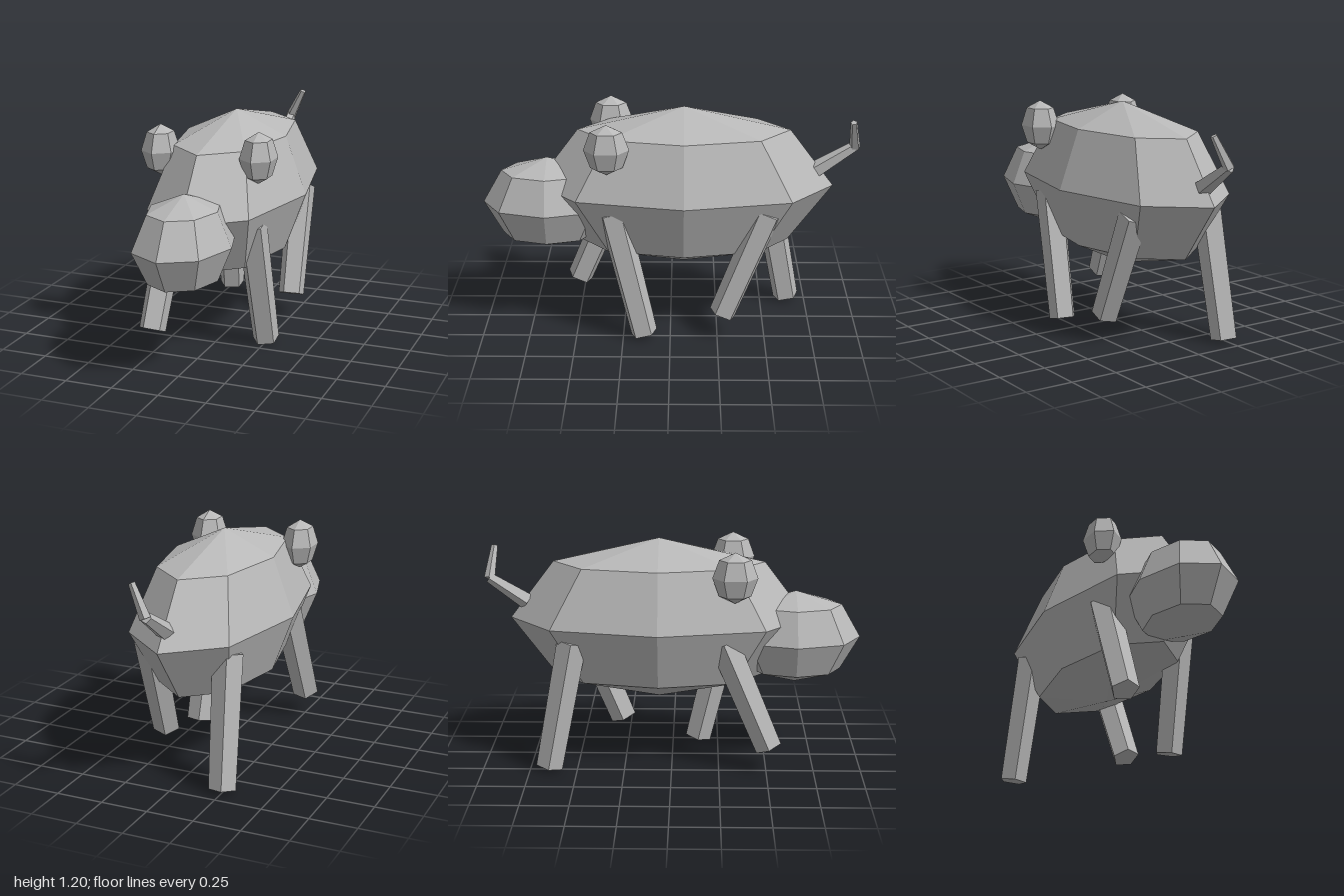
import * as THREE from 'three';

export function createModel() {
  const model = new THREE.Group();
  const grey = new THREE.MeshStandardMaterial({ color: 0xb8b8b8, flatShading: true });
  grey.name = 'plain grey';

  function add(name, geometry) {
    const mesh = new THREE.Mesh(geometry, grey);
    mesh.name = name;
    model.add(mesh);
    return mesh;
  }

  // Low-poly ellipsoid with four bands
  function ellipsoid(name, sides, center, radii, turn = 0) {
    const geometry = new THREE.SphereGeometry(1, sides, 4);
    geometry.rotateY(turn).scale(...radii);
    add(name, geometry).position.set(...center);
  }

  // Five-sided tapered rod between two points, one corner towards -x
  function rod(name, bottom, top, bottomRadius, topRadius) {
    const a = new THREE.Vector3(...bottom);
    const b = new THREE.Vector3(...top);
    const axis = b.clone().sub(a);
    const mesh = add(name, new THREE.CylinderGeometry(
      topRadius, bottomRadius, axis.length(), 5, 1, false, -Math.PI / 2));
    mesh.position.copy(a).add(b).multiplyScalar(0.5);
    mesh.quaternion.setFromUnitVectors(new THREE.Vector3(0, 1, 0), axis.normalize());
  }

  ellipsoid('body', 8, [0, 0.773, -0.07], [0.39, 0.434, 0.79]);
  ellipsoid('head', 8, [0, 0.675, 0.655], [0.25, 0.25, 0.345]);
  for (const [side, s] of [['left', 1], ['right', -1]]) {
    ellipsoid(side + 'Ear', 6, [s * 0.267, 1.053, 0.325], [0.096, 0.133, 0.117], Math.PI / 2);
  }

  // Legs in mid-stride: side, foot height and z, hip z
  const legs = [
    ['leftFrontLeg', 1, 0.02, 0.14, 0.3],
    ['rightFrontLeg', -1, 0.135, 0.512, 0.272],
    ['leftBackLeg', 1, 0.135, -0.277, -0.505],
    ['rightBackLeg', -1, 0.02, -0.647, -0.518],
  ];
  for (const [name, s, footY, footZ, hipZ] of legs) {
    rod(name, [s * 0.247, footY, footZ], [s * 0.222, 0.7, hipZ], 0.073, 0.081);
  }

  // Tail with a bent tip
  rod('tailBase', [0, 0.86, -0.768], [0, 0.99, -0.968], 0.047, 0.029);
  rod('tailTip', [0, 0.985, -0.968], [0.08, 1.145, -0.947], 0.03, 0.018);

  return model;
}
